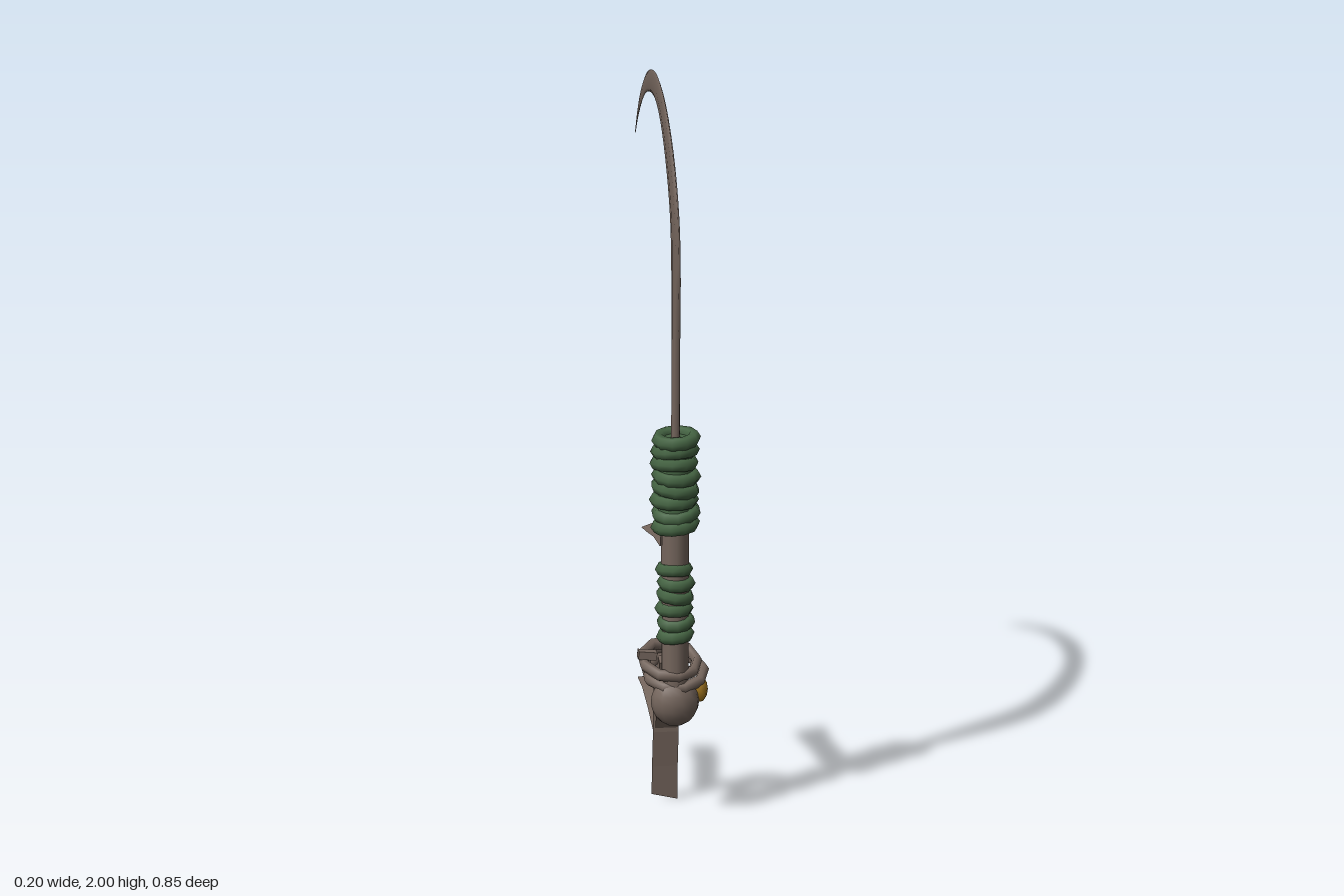
import * as THREE from 'three';

const mat = (name, color, side = THREE.FrontSide) => {
  const m = new THREE.MeshStandardMaterial({ color, side });
  m.name = name;
  return m;
};
const V = (z, y) => new THREE.Vector3(0, y, z);
const AXIS_Z = 0.352;

// Curved blade: lens-shaped sections between a spine and a cutting edge
function bladeGeometry() {
  const outer = new THREE.CatmullRomCurve3([
    V(.385, 1.05), V(.404, 1.3), V(.428, 1.6), V(.40, 1.735), V(.32, 1.855), V(.2, 1.945), V(.1, 1.985),
    V(0, 2), V(-.1, 1.985), V(-.2, 1.945), V(-.3, 1.87), V(-.37, 1.79), V(-.42, 1.71)]);
  const inner = new THREE.CatmullRomCurve3([
    V(.333, 1.05), V(.325, 1.3), V(.308, 1.6), V(.28, 1.69), V(.22, 1.78), V(.13, 1.865), V(.04, 1.91),
    V(-.05, 1.922), V(-.13, 1.913), V(-.22, 1.882), V(-.31, 1.822), V(-.373, 1.765), V(-.42, 1.71)]);
  const rows = 48, cols = 8, pos = [], idx = [];
  for (let i = 0; i <= rows; i++) {
    const t = i / rows, o = outer.getPoint(t), n = inner.getPoint(t);
    const half = 0.011 * (1 - t) + 0.001;
    for (let j = 0; j < cols; j++) {
      const a = j / cols * Math.PI * 2;
      const p = o.clone().lerp(n, (1 - Math.cos(a)) / 2);
      pos.push(Math.sin(a) * half, p.y, p.z);
    }
  }
  for (let i = 0; i < rows; i++) for (let j = 0; j < cols; j++) {
    const k = (j + 1) % cols, a = i * cols + j, b = i * cols + k, c = b + cols, d = a + cols;
    idx.push(a, b, c, a, c, d);
  }
  const g = new THREE.BufferGeometry();
  g.setAttribute('position', new THREE.Float32BufferAttribute(pos, 3));
  g.setIndex(idx);
  g.computeVertexNormals();
  return g;
}

// Cloth strip: each row is [x, y, z, dy, dz], the last two slanting its sides
function ribbonGeometry(rows, width) {
  const pos = [], idx = [];
  rows.forEach(([x, y, z, dy = 0, dz = 0], i) => {
    pos.push(x - width / 2, y - dy, z - dz, x + width / 2, y + dy, z + dz);
    const a = i * 2;
    if (i) idx.push(a - 2, a - 1, a + 1, a - 2, a + 1, a);
  });
  const g = new THREE.BufferGeometry();
  g.setAttribute('position', new THREE.Float32BufferAttribute(pos, 3));
  g.setIndex(idx);
  const flat = g.toNonIndexed();
  flat.computeVertexNormals();
  return flat;
}

export function createModel() {
  const root = new THREE.Group();
  const brown = mat('weathered brown', 0x75665d);
  const cloth = mat('brown cloth', 0x75665d, THREE.DoubleSide);
  const green = mat('green cord', 0x456443);
  const gold = mat('dull gold', 0xa0751f);
  const add = (name, geo, material, x = 0, y = 0, z = 0, parent = root) => {
    const m = new THREE.Mesh(geo, material);
    m.name = name;
    m.position.set(x, y, z);
    parent.add(m);
    return m;
  };

  add('blade', bladeGeometry(), brown);

  // Handle and pommel
  add('handle', new THREE.CylinderGeometry(.04, .036, .72, 10), brown, 0, .71, AXIS_Z);
  add('pommel', new THREE.SphereGeometry(1, 14, 10), brown, 0, .34, AXIS_Z).scale.set(.066, .07, .05);

  // Cord wraps: stacked, slightly tilted rings around a core
  const wrap = (name, y0, y1, count, radius, tube) => {
    const group = new THREE.Group();
    group.name = name;
    root.add(group);
    const height = y1 - y0;
    add('wrapCore', new THREE.CylinderGeometry(radius - tube, radius - tube, height - .03, 10), green,
      0, (y0 + y1) / 2, AXIS_Z, group);
    const ring = new THREE.TorusGeometry(radius - tube, tube, 6, 10).rotateX(Math.PI / 2);
    for (let i = 0; i < count; i++) {
      const y = y0 + tube + (height - 2 * tube) * i / (count - 1);
      const m = add('cordRing', ring, green, .003 * Math.sin(i * 2.1), y, AXIS_Z + .003 * Math.cos(i * 1.7), group);
      m.rotation.set(.07 * Math.sin(i * 1.9), i * .9, .09 + .07 * Math.sin(i * 2.6));
    }
  };
  wrap('upperWrap', .82, 1.1, 8, .068, .019);
  wrap('lowerWrap', .51, .73, 6, .053, .018);

  // Loose straps looped round the handle foot, rising to the back
  const strap = new THREE.TorusGeometry(1, .19, 6, 9).rotateX(Math.PI / 2);
  [[-.008, .44, .3, .3, -.06, .075, .085], [.008, .405, .295, .27, .05, .078, .088],
    [0, .425, .275, .36, .1, .07, .07]].forEach(([x, y, z, tilt, roll, sx, sz]) => {
    const m = add('looseStrap', strap, brown, x, y, z);
    m.scale.set(sx, .085, sz);
    m.rotation.set(tilt, 0, roll);
  });
  add('strapEnd', new THREE.BoxGeometry(.05, .022, .03), brown, -.07, .46, .31).rotation.z = -.1;
  add('knot', new THREE.BoxGeometry(.06, .06, .05), brown, 0, .4, .235).rotation.x = .3;

  // Gold bead
  add('bead', new THREE.SphereGeometry(1, 8, 6), gold, .069, .367, .342).scale.set(.022, .036, .022);

  // Trailing cloth strips
  add('upperRibbon', ribbonGeometry([
    [.003, .83, .335], [.003, .765, .31], [.002, .758, .2], [0, .735, .06, .003],
    [0, .733, .01, .008, -.008], [0, .724, -.045, .007, -.018]], .078), cloth);
  add('backRibbon', ribbonGeometry([
    [0, .37, .27], [.002, .185, .165], [.004, .222, .02], [.006, .245, -.1, .003],
    [.007, .249, -.185, .007, .012]], .064), cloth);
  add('hangingRibbon', ribbonGeometry([
    [0, .4, .25], [0, .345, .182], [-.001, .2, .18], [-.002, .1, .168], [-.002, .012, .16, -.008]], .07), cloth);

  return root;
}
